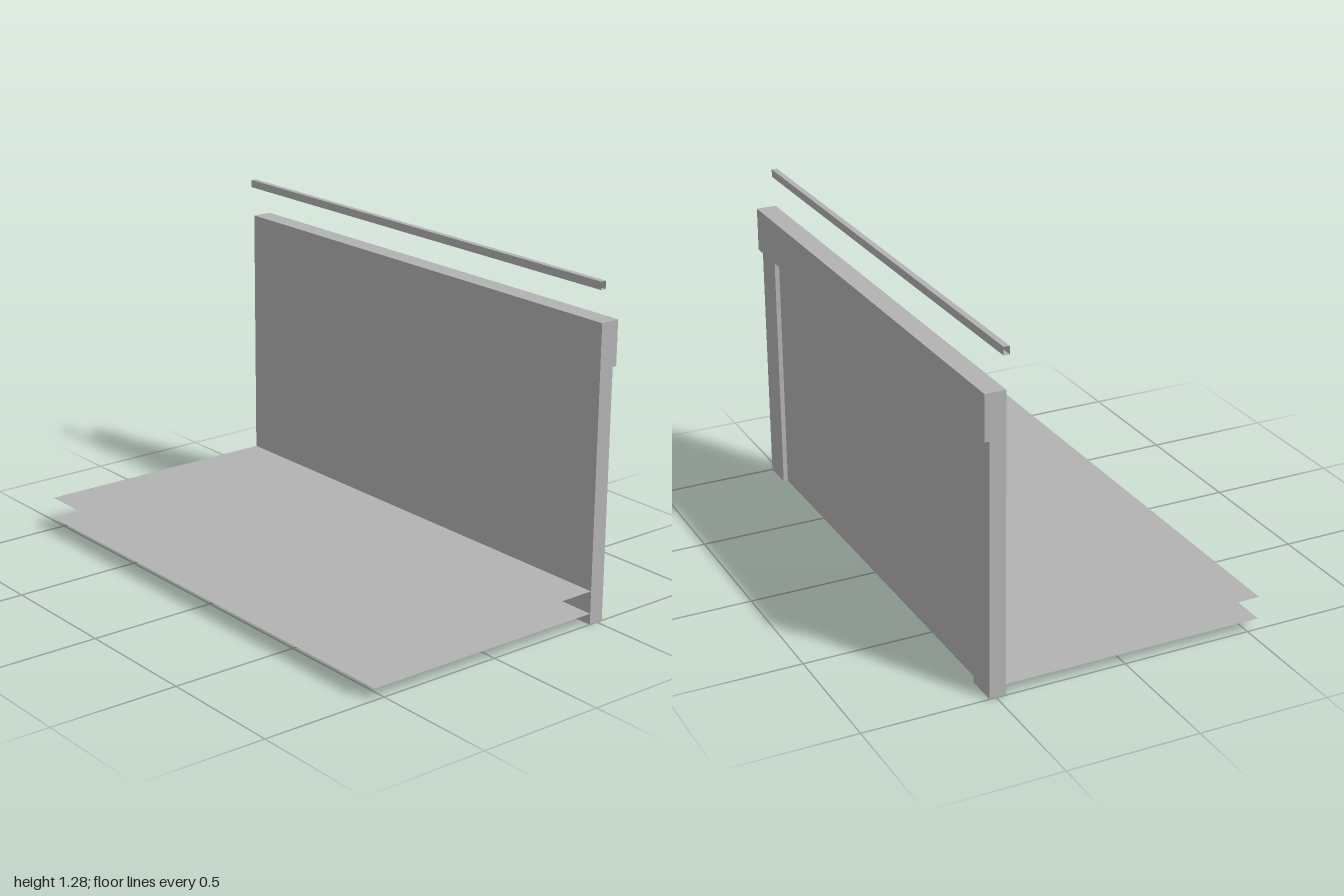
import * as THREE from 'three';

const FRONT = -0.464; // shared front plane of the wall

export function createModel() {
  const group = new THREE.Group();
  const grey = new THREE.MeshStandardMaterial({ color: 0xb2b2b2, side: THREE.DoubleSide });
  grey.name = 'light grey';

  const add = (name, geometry, x, y, z) => {
    const mesh = new THREE.Mesh(geometry, grey);
    mesh.name = name;
    mesh.position.set(x, y, z);
    group.add(mesh);
  };

  // Wall block, from x0..x1 and y0..y1, reaching back from the front plane to zBack
  const block = (name, x0, x1, y0, y1, zBack) =>
    add(name, new THREE.BoxGeometry(x1 - x0, y1 - y0, FRONT - zBack),
      (x0 + x1) / 2, (y0 + y1) / 2, (FRONT + zBack) / 2);

  block('wallPanel', -0.875, 0.875, 0, 0.96, -0.507);
  block('leftPost', 0.875, 1, 0, 0.96, -0.525);
  block('rightPost', -1, -0.875, 0, 0.96, -0.525);
  block('topBeam', -1, 1, 0.96, 1.13, -0.542);

  // Two thin floor sheets in front of the wall
  const depth = 0.542 - FRONT;
  [['lowerSheet', 0.043], ['upperSheet', 0.13]].forEach(([name, y]) =>
    add(name, new THREE.PlaneGeometry(2, depth).rotateX(-Math.PI / 2), 0, y, FRONT + depth / 2));

  // Floating rail: a rectangular sleeve open at both ends
  const h = 0.03, d = 0.022, y = 1.265, z = -0.463;
  for (const s of [1, -1]) {
    add(s > 0 ? 'railFront' : 'railBack',
      new THREE.PlaneGeometry(2, h).rotateY(s > 0 ? 0 : Math.PI), 0, y, z + s * d / 2);
    add(s > 0 ? 'railTop' : 'railBottom',
      new THREE.PlaneGeometry(2, d).rotateX(-s * Math.PI / 2), 0, y + s * h / 2, z);
  }
  return group;
}
